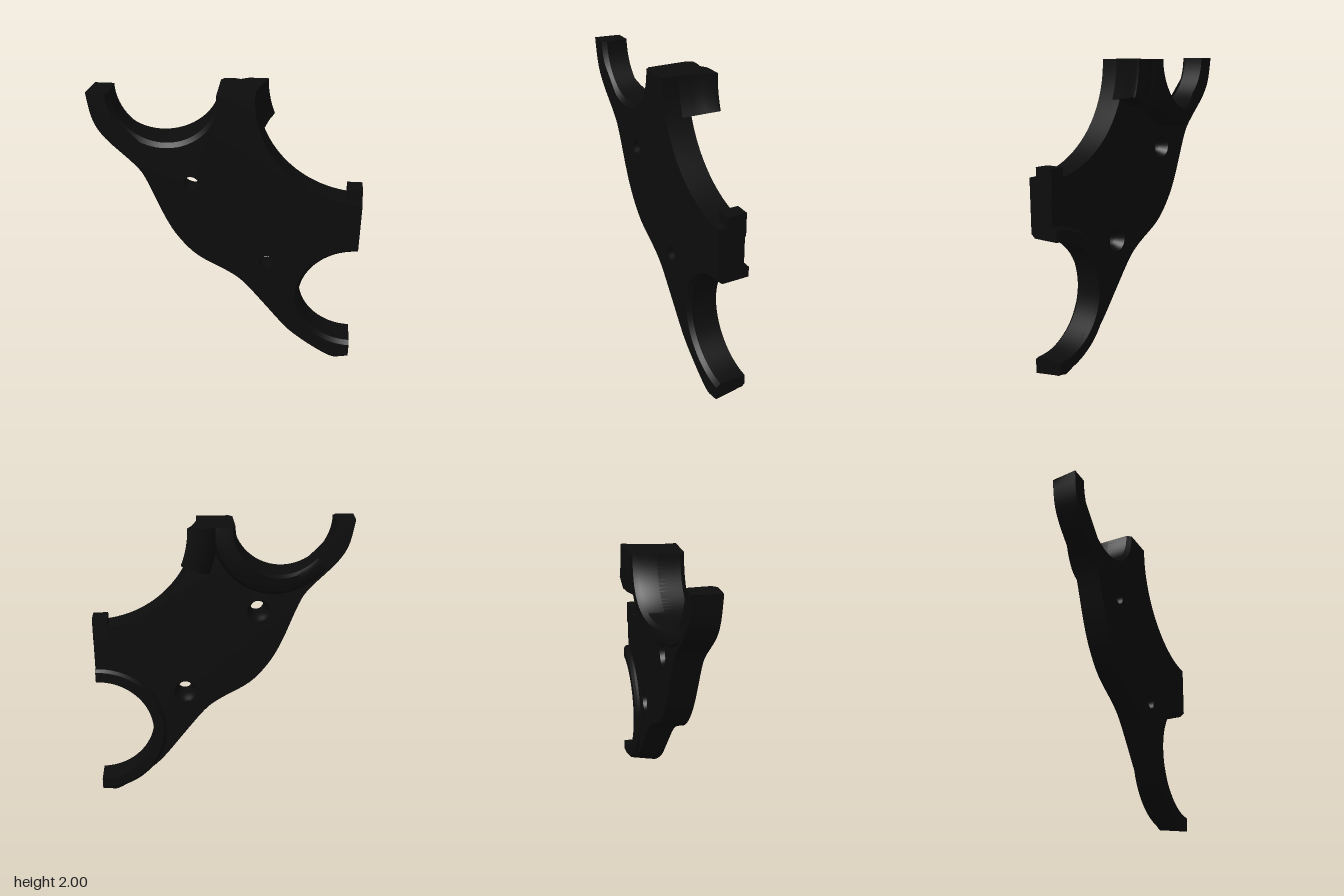
import * as THREE from 'three';
import { toCreasedNormals } from 'three/addons/utils/BufferGeometryUtils.js';

const rad = THREE.MathUtils.degToRad;
const UPPER = [-0.405, 2, 0.335], LOWER = [0.88, 0.525, 0.385], SIDE = [0.88, 2, 0.71];
const HOLES = [[-0.24, 1.39], [0.265, 0.805]];
const BACK = -0.012, DEPTH = 0.18, STEPS = 6;

function arc([cx, cy, r], a0, a1, n) {
  return Array.from({ length: n + 1 }, (_, i) => {
    const a = rad(a0 + (a1 - a0) * i / n);
    return new THREE.Vector2(cx + r * Math.cos(a), cy + r * Math.sin(a));
  });
}

// The whole casting leans a little towards the front at the top
function lean(geo) {
  const p = geo.attributes.position;
  for (let i = 0; i < p.count; i++) p.setZ(i, p.getZ(i) + 0.0125 * (p.getY(i) - 1));
  return toCreasedNormals(geo, 0.6);
}

// Sweep a closed (r, z) profile around a centre in the xy plane
function sweep([cx, cy], a0, a1, n, profile) {
  const pos = [], idx = [];
  let m = 0, first;
  for (let i = 0; i <= n; i++) {
    const a = rad(a0 + (a1 - a0) * i / n), pts = profile(a);
    m = pts.length;
    first = first || pts;
    for (const [r, z] of pts) pos.push(cx + r * Math.cos(a), cy + r * Math.sin(a), z);
  }
  for (let i = 0; i < n; i++) for (let j = 0; j < m; j++) {
    const k = (j + 1) % m, a = i * m + j, b = a + m, c = (i + 1) * m + k, d = i * m + k;
    idx.push(a, b, c, a, c, d);
  }
  const caps = THREE.ShapeUtils.triangulateShape(first.map(([r, z]) => new THREE.Vector2(r, z)), []);
  for (const [a, b, c] of caps) idx.push(a, b, c, n * m + a, n * m + c, n * m + b);
  const geo = new THREE.BufferGeometry();
  geo.setAttribute('position', new THREE.Float32BufferAttribute(pos, 3));
  geo.setIndex(idx);
  return lean(geo);
}

function plateGeometry() {
  const edge = new THREE.SplineCurve([
    [0.88, 0.02], [0.82, 0.006], [0.75, 0.008], [0.62, 0.085], [0.47, 0.2], [0.38, 0.295], [0.25, 0.46],
    [0.11, 0.63], [0, 0.715], [-0.2, 0.83], [-0.33, 0.97], [-0.42, 1.13], [-0.53, 1.4], [-0.6, 1.51],
    [-0.78, 1.69], [-0.855, 1.82], [-0.885, 2],
  ].map(([x, y]) => new THREE.Vector2(x, y))).getPoints(64);
  const shape = new THREE.Shape([
    ...arc(UPPER, 180, 360, 40), ...arc(SIDE, 180, 270, 28), ...arc(LOWER, 90, 270, 40), ...edge,
  ]);
  for (const [x, y] of HOLES) shape.holes.push(new THREE.Path(arc([x, y, 0.05], 0, 345, 23)));
  const geo = new THREE.ExtrudeGeometry(shape, { depth: DEPTH, steps: STEPS, bevelEnabled: false });
  const p = geo.attributes.position;
  for (let i = 0; i < p.count; i++) {
    let x = p.getX(i), y = p.getY(i);
    const t = 1 - p.getZ(i) / DEPTH;
    const ox = x, oy = y;
    // Draft on the long outer edge
    if (edge.some((e) => Math.hypot(e.x - ox, e.y - oy) < 1e-4)) {
      x += 0.02 * t * (ox > 0.8 ? 0 : 1);
      y = Math.min(2, y + 0.03 * t);
    }
    // Chamfer on the front of the two round seats
    if (t < 0.01) for (const [cx, cy, r] of [UPPER, LOWER]) {
      if (Math.abs(Math.hypot(ox - cx, oy - cy) - r) < 1e-4) {
        x = cx + (ox - cx) * (1 + 0.025 / r);
        y = cy + (oy - cy) * (1 + 0.025 / r);
      }
    }
    // Countersinks on the back of the screw holes
    if (t > 0.7) for (const [cx, cy] of HOLES) {
      if (Math.hypot(ox - cx, oy - cy) < 0.055) {
        const s = 1 + 0.55 * (t - 0.6) / 0.4;
        x = cx + (ox - cx) * s;
        y = cy + (oy - cy) * s;
      }
    }
    p.setXYZ(i, x, y, p.getZ(i) + BACK);
  }
  return lean(geo);
}

export function createModel() {
  const group = new THREE.Group();
  const black = new THREE.MeshStandardMaterial({ color: 0x0c0c0c });
  black.name = 'black';
  const add = (name, geo) => {
    const mesh = new THREE.Mesh(geo, black);
    mesh.name = name;
    group.add(mesh);
  };

  add('plate', plateGeometry());

  // Collar behind the upper seat, rising towards the middle
  add('upperCollar', sweep(UPPER, 180, 360, 48, (a) => {
    const x = UPPER[0] + 0.42 * Math.cos(a);
    const t = Math.sin(THREE.MathUtils.clamp((x + 0.72) / 0.72, 0, 1) * Math.PI / 2);
    const h = -0.17 * t, out = 0.43 + 0.07 * t;
    return [[0.335, 0.05], [0.335, 0.8 * h], [0.355, h], [out - 0.07, h],
      [out - 0.03, 0.92 * h], [out - 0.008, 0.7 * h], [out, 0.4 * h], [out, 0.05]];
  }));

  // Low rim behind the lower seat
  add('lowerRim', sweep(LOWER, 90, 270, 48, () => [
    [0.385, 0.05], [0.385, -0.048], [0.455, -0.048], [0.475, -0.03], [0.475, 0.05],
  ]));

  // Flared lug along the side cutout
  add('lug', sweep(SIDE, 180, 201.5, 10, () => [
    [0.712, 0.06], [0.695, -0.02], [0.675, -0.1], [0.645, -0.17], [0.645, -0.19],
    [0.77, -0.19], [0.81, -0.17], [0.84, -0.14], [0.84, 0.06],
  ]));

  // Small tab at the right edge
  const tab = new THREE.BoxGeometry(0.1, 0.16, 0.13);
  tab.translate(0.83, 1.28, 0.045);
  add('tab', lean(tab));

  return group;
}
